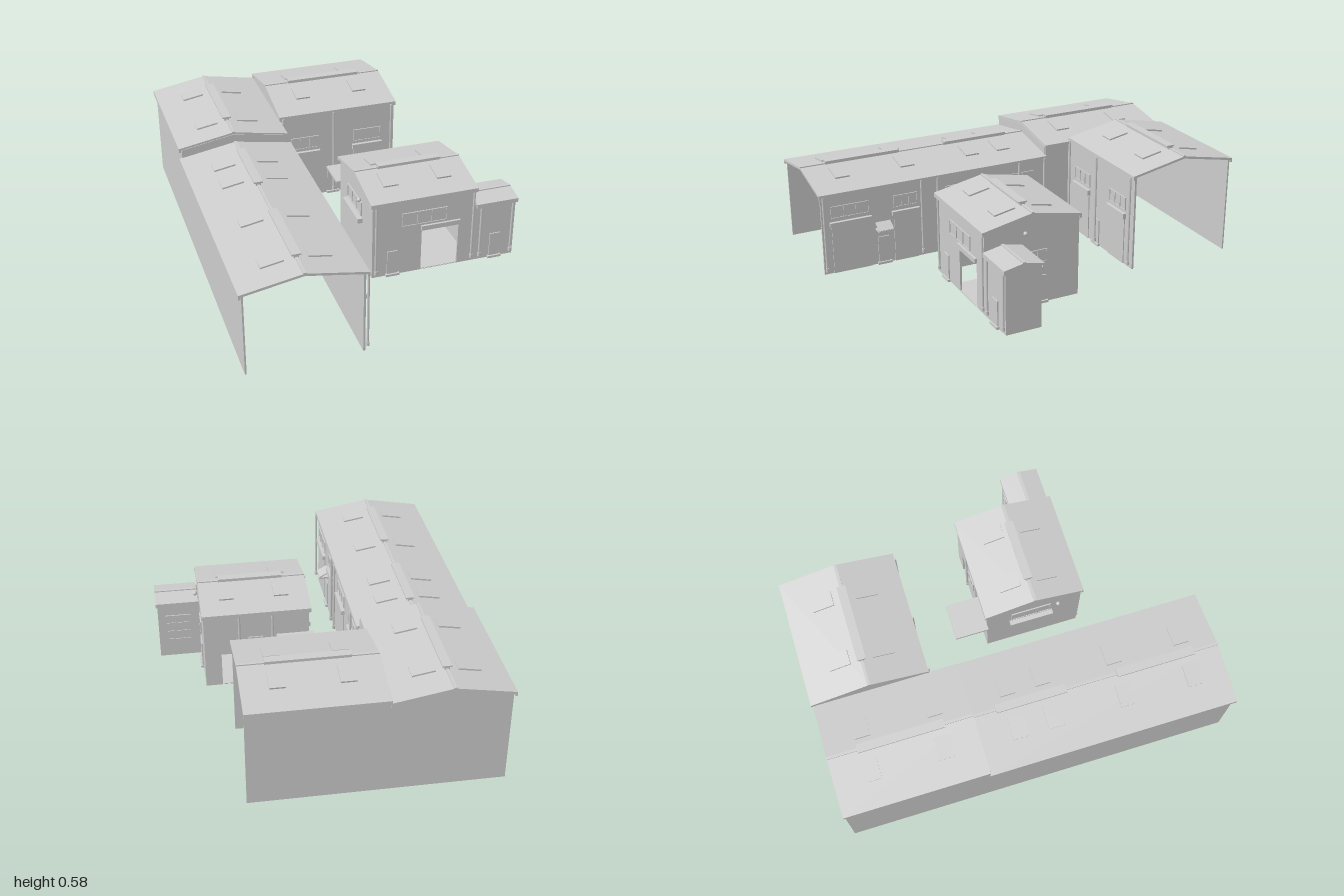
import * as THREE from 'three';

const grey = new THREE.MeshStandardMaterial({ color: 0xcccccc, side: THREE.DoubleSide });
grey.name = 'light grey';

function add(parent, name, geometry) {
  const mesh = new THREE.Mesh(geometry, grey);
  mesh.name = name;
  parent.add(mesh);
  return mesh;
}

function group(parent, name) {
  const g = new THREE.Group();
  g.name = name;
  parent.add(g);
  return g;
}

function box(parent, name, x0, x1, y0, y1, z0, z1) {
  const m = add(parent, name, new THREE.BoxGeometry(Math.abs(x1 - x0), y1 - y0, Math.abs(z1 - z0)));
  m.position.set((x0 + x1) / 2, (y0 + y1) / 2, (z0 + z1) / 2);
  return m;
}

// Box on a wall: axis is the way the wall faces, out the signed projection
function panel(parent, name, axis, plane, out, a0, a1, y0, y1) {
  return axis === 'z'
    ? box(parent, name, a0, a1, y0, y1, plane, plane + out)
    : box(parent, name, plane, plane + out, y0, y1, a0, a1);
}

// Profile of (across, y) points drawn out along an axis, with rectangular holes [a0, a1, y0, y1]
function slab(parent, name, axis, points, from, to, holes = []) {
  const s = axis === 'z' ? 1 : -1;
  const shape = new THREE.Shape(points.map(([u, y]) => new THREE.Vector2(s * u, y)));
  for (const [a, b, c, d] of holes) {
    shape.holes.push(new THREE.Path([[a, c], [a, d], [b, d], [b, c]].map(([u, y]) => new THREE.Vector2(s * u, y))));
  }
  const geo = new THREE.ExtrudeGeometry(shape, { depth: to - from, bevelEnabled: false });
  geo.translate(0, 0, from);
  if (axis === 'x') geo.rotateY(Math.PI / 2);
  return add(parent, name, geo);
}

// Wall rectangle with openings
function wall(parent, name, axis, plane, thick, a0, a1, top, holes = []) {
  return slab(parent, name, axis, [[a0, 0], [a1, 0], [a1, top], [a0, top]], plane, plane + thick, holes);
}

// Pitched roof with ridge cap, vents and skylights
function roof(parent, axis, lo, hi, from, to, eave, ridge, vents, lights) {
  const g = group(parent, 'roof');
  const mid = (lo + hi) / 2, half = (hi - lo) / 2, t = 0.012;
  slab(g, 'roofSheet', axis, [[lo, eave - t], [lo, eave], [mid, ridge], [hi, eave], [hi, eave - t], [mid, ridge - t]], from, to);
  const along = (name, u0, u1, y0, y1, a, b) => axis === 'z'
    ? box(g, name, u0, u1, y0, y1, a, b)
    : box(g, name, a, b, y0, y1, u0, u1);
  along('ridgeCap', mid - 0.007, mid + 0.007, ridge - 0.01, ridge + 0.004, from, to);
  for (const [a, b] of vents) {
    along('ridgeVent', mid - 0.012, mid + 0.012, ridge - 0.01, ridge + 0.012, a, b);
    along('ridgeVentCap', mid - 0.022, mid + 0.022, ridge + 0.01, ridge + 0.018, a, b);
  }
  const slope = Math.atan2(ridge - eave, half);
  for (const a of lights) for (const s of [-1, 1]) {
    const d = half * 0.37;
    const y = ridge - (ridge - eave) * 0.37 + 0.002;
    const m = axis === 'z'
      ? box(g, 'skylight', mid + s * d - 0.055, mid + s * d + 0.055, y - 0.006, y + 0.006, a - 0.038, a + 0.038)
      : box(g, 'skylight', a - 0.038, a + 0.038, y - 0.006, y + 0.006, mid + s * d - 0.055, mid + s * d + 0.055);
    if (axis === 'z') m.rotation.z = -s * slope; else m.rotation.x = s * slope;
  }
  // gutters along both eaves
  for (const [u, s] of [[lo, -1], [hi, 1]]) along('gutter', u, u - s * 0.01, eave - 0.022, eave - 0.004, from, to);
}

// Framed window with glazing bars
function windowFrame(parent, axis, plane, s, a0, a1, y0, y1, cols) {
  const g = group(parent, 'window'), w = 0.005, o = s * 0.006;
  panel(g, 'glass', axis, plane, s * 0.002, a0, a1, y0, y1);
  panel(g, 'sill', axis, plane, o, a0, a1, y0, y0 + w);
  panel(g, 'head', axis, plane, o, a0, a1, y1 - w, y1);
  for (let i = 0; i <= cols; i++) {
    const a = a0 + (a1 - a0 - w) * i / cols;
    panel(g, 'glazingBar', axis, plane, o, a, a + w, y0, y1);
  }
}

function door(parent, axis, plane, s, a0, a1, top) {
  panel(parent, 'door', axis, plane, s * 0.006, a0, a1, 0, top);
  panel(parent, 'doorStep', axis, plane, s * 0.015, a0 - 0.008, a1 + 0.008, 0, 0.012);
}

function pipe(parent, x, z, top) {
  const p = add(parent, 'downpipe', new THREE.CylinderGeometry(0.006, 0.006, top - 0.02, 8));
  p.position.set(x, (top + 0.02) / 2, z);
  const foot = add(parent, 'downpipeFoot', new THREE.CylinderGeometry(0.009, 0.009, 0.02, 8));
  foot.position.set(x, 0.03, z);
}

function lamp(parent, x, y, z) {
  add(parent, 'lamp', new THREE.SphereGeometry(0.011, 10, 8)).position.set(x, y, z);
}

export function createModel() {
  const model = new THREE.Group();
  model.name = 'industrialYard';

  // Long hall, lower front part and taller rear part
  const hall = group(model, 'longHall');
  roof(hall, 'z', -0.78, -0.19, -0.265, 1, 0.432, 0.484, [[-0.15, 0.21], [0.47, 0.87]], [-0.07, 0.11, 0.48, 0.83]);
  roof(hall, 'z', -0.78, -0.205, -0.99, -0.265, 0.486, 0.537, [[-0.84, -0.41]], [-0.8, -0.44]);
  wall(hall, 'outerWallFront', 'x', -0.765, 0.008, -0.265, 0.99, 0.425);
  wall(hall, 'outerWallRear', 'x', -0.765, 0.008, -0.985, -0.265, 0.478);
  wall(hall, 'yardWallFront', 'x', -0.215, 0.01, -0.265, 0.99, 0.425);
  wall(hall, 'yardWallRear', 'x', -0.215, 0.01, -0.42, -0.265, 0.478);
  slab(hall, 'rearGable', 'z', [[-0.765, 0], [-0.21, 0], [-0.21, 0.478], [-0.49, 0.527], [-0.765, 0.478]], -0.985, -0.977);
  slab(hall, 'stepGable', 'z', [[-0.765, 0.42], [-0.485, 0.472], [-0.21, 0.42], [-0.21, 0.478], [-0.49, 0.527], [-0.765, 0.478]], -0.268, -0.262);

  // Yard side of the hall
  const yard = -0.205;
  for (const [a, b] of [[0.73, 0.95], [0.47, 0.62], [0.13, 0.33], [-0.2, 0]]) {
    windowFrame(hall, 'x', yard, 1, a + 0.01, b - 0.01, 0.295, 0.36, 3);
    panel(hall, 'doorCanopy', 'x', yard, 0.018, a, b, 0.255, 0.278);
    panel(hall, 'rollerDoor', 'x', yard, 0.005, a + 0.01, b - 0.01, 0, 0.25);
  }
  door(hall, 'x', yard, 1, 0.64, 0.7, 0.15);
  box(hall, 'entranceCanopy', -0.205, -0.152, 0.19, 0.2, 0.63, 0.71);
  const prop = box(hall, 'canopyPitch', -0.21, -0.15, 0.212, 0.218, 0.63, 0.71);
  prop.rotation.z = -0.5;
  for (const z of [0.98, 0.46, 0.37, -0.1, -0.25]) pipe(hall, -0.19, z, 0.42);
  pipe(hall, -0.195, -0.405, 0.475);

  // Rear wing with open right end
  const wing = group(model, 'rearWing');
  roof(wing, 'x', -1, -0.407, -0.21, 0.447, 0.508, 0.566, [[-0.08, 0.32]], [-0.04, 0.28]);
  wall(wing, 'rearWall', 'z', -0.985, 0.008, -0.21, 0.445, 0.5);
  wall(wing, 'frontWall', 'z', -0.43, 0.01, -0.205, 0.44, 0.5);
  slab(wing, 'innerGable', 'x', [[-0.985, 0.47], [-0.42, 0.47], [-0.42, 0.498], [-0.703, 0.553], [-0.985, 0.498]], -0.208, -0.202);
  for (const x of [-0.155, 0.2]) {
    windowFrame(wing, 'z', -0.42, 1, x + 0.01, x + 0.165, 0.295, 0.365, 3);
    panel(wing, 'doorCanopy', 'z', -0.42, 0.018, x, x + 0.17, 0.252, 0.28);
    panel(wing, 'rollerDoor', 'z', -0.42, 0.005, x + 0.01, x + 0.16, 0, 0.25);
  }
  door(wing, 'z', -0.42, 1, 0.06, 0.115, 0.145);
  for (const x of [-0.19, 0.09, 0.42]) pipe(wing, x, -0.405, 0.495);

  // Gatehouse with drive-through
  const house = group(model, 'gatehouse');
  roof(house, 'x', -0.052, 0.47, 0, 0.557, 0.425, 0.477, [[0.12, 0.45]], [0.14, 0.42]);
  wall(house, 'frontWall', 'z', 0.448, 0.01, 0.012, 0.55, 0.42, [[0.27, 0.465, 0.002, 0.23]]);
  wall(house, 'backWall', 'z', -0.042, 0.01, 0.012, 0.55, 0.42, [[0.395, 0.465, 0.002, 0.185]]);
  const gable = [[-0.042, 0], [0.458, 0], [0.458, 0.415], [0.209, 0.466], [-0.042, 0.415]];
  slab(house, 'leftGable', 'x', gable, 0.54, 0.55);
  slab(house, 'rightGable', 'x', gable, 0.012, 0.022);
  box(house, 'floor', 0.19, 0.55, 0, 0.004, -0.04, 0.455);
  windowFrame(house, 'z', 0.458, 1, 0.165, 0.4, 0.27, 0.345, 3);
  panel(house, 'gateCanopy', 'z', 0.45, 0.02, 0.265, 0.47, 0.235, 0.26);
  door(house, 'z', 0.458, 1, 0.09, 0.145, 0.14);
  door(house, 'z', -0.032, 1, 0.272, 0.33, 0.15);
  door(house, 'x', 0.55, 1, 0.135, 0.225, 0.145);
  windowFrame(house, 'x', 0.55, 1, 0.13, 0.23, 0.215, 0.28, 2);
  windowFrame(house, 'x', 0.012, -1, 0.09, 0.3, 0.27, 0.345, 3);
  panel(house, 'sideCanopy', 'x', 0.012, -0.027, 0.08, 0.31, 0.235, 0.26);
  windowFrame(house, 'z', -0.042, -1, 0.25, 0.33, 0.2, 0.28, 2);
  windowFrame(house, 'z', -0.042, -1, 0.08, 0.15, 0.13, 0.22, 2);
  box(house, 'backCanopy', -0.01, 0.18, 0.272, 0.284, -0.215, -0.04);
  for (const x of [0.03, 0.54]) pipe(house, x, 0.464, 0.415);
  for (const x of [0.2, 0.37]) pipe(house, x, -0.047, 0.415);
  lamp(house, -0.015, 0.385, 0.33);
  lamp(house, 0.57, 0.385, 0.255);

  // Small annex beside the gatehouse
  const annex = group(model, 'annex');
  roof(annex, 'x', 0.265, 0.47, 0.557, 0.778, 0.328, 0.348, [], []);
  wall(annex, 'frontWall', 'z', 0.448, 0.01, 0.55, 0.77, 0.322);
  wall(annex, 'backWall', 'z', 0.275, 0.008, 0.55, 0.77, 0.322);
  slab(annex, 'endGable', 'x', [[0.275, 0], [0.458, 0], [0.458, 0.318], [0.367, 0.338], [0.275, 0.318]], 0.76, 0.77);
  door(annex, 'z', 0.458, 1, 0.64, 0.695, 0.14);
  windowFrame(annex, 'z', 0.275, -1, 0.6, 0.73, 0.1, 0.25, 3);
  for (const y of [0.15, 0.2]) panel(annex, 'crossBar', 'z', 0.275, -0.006, 0.6, 0.73, y, y + 0.005);
  for (const x of [0.585, 0.755]) pipe(annex, x, 0.463, 0.32);

  return model;
}
